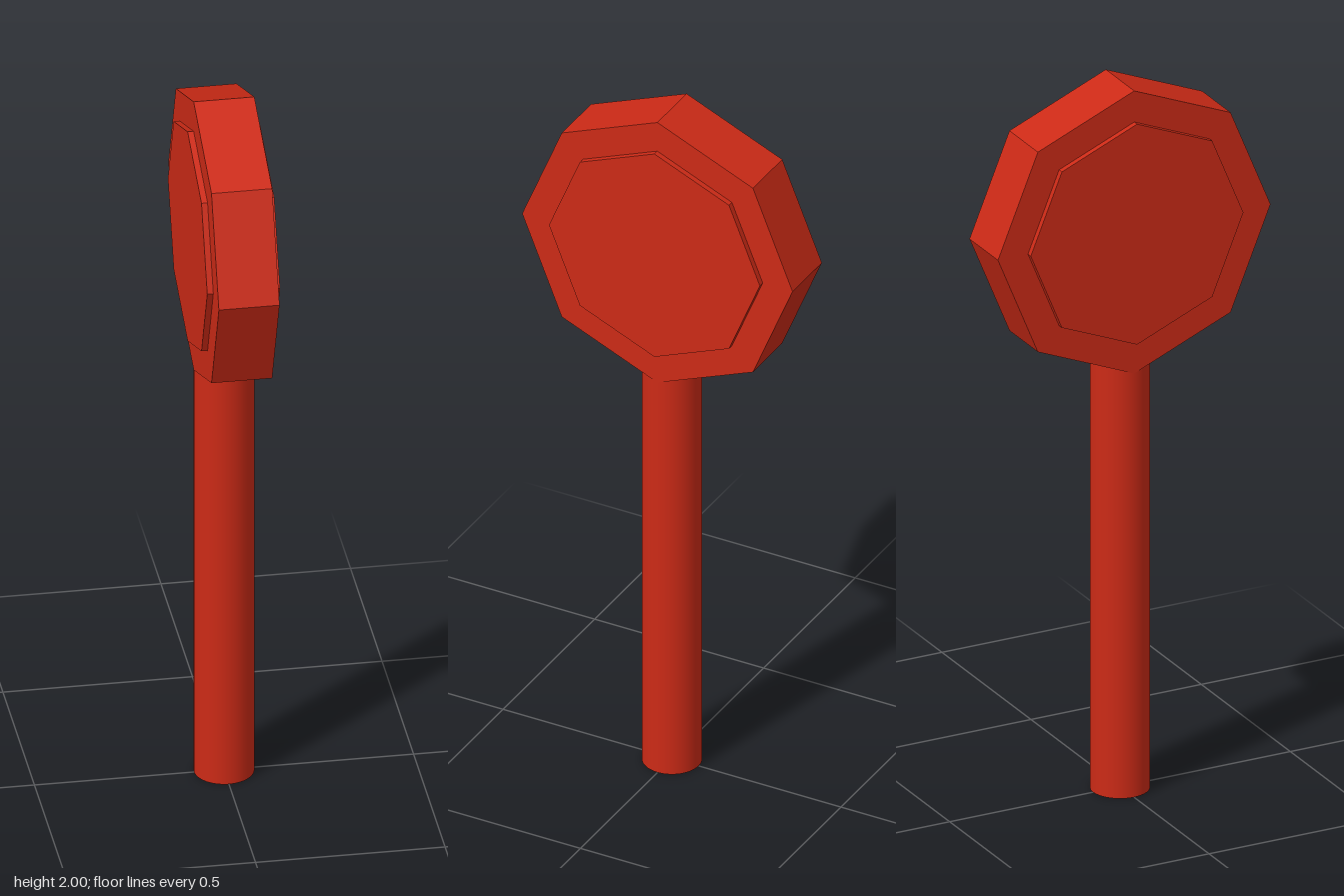
import * as THREE from 'three';

export function createModel() {
  const model = new THREE.Group();
  const smoothRed = new THREE.MeshStandardMaterial({ color: 0xcc2a16 });
  const flatRed = new THREE.MeshStandardMaterial({ color: 0xcc2a16, flatShading: true });

  // Round pole, its top end sunk into the sign head
  const poleHeight = 1.24;
  const pole = new THREE.Mesh(new THREE.CylinderGeometry(0.079, 0.079, poleHeight, 32), smoothRed);
  pole.name = 'pole';
  pole.position.y = poleHeight / 2;
  model.add(pole);

  // Octagonal slab facing sideways, with a corner pointing up
  const octagon = (name, radius, thickness, x) => {
    const geometry = new THREE.CylinderGeometry(radius, radius, thickness, 8).rotateZ(Math.PI / 2);
    const mesh = new THREE.Mesh(geometry, flatRed);
    mesh.name = name;
    mesh.position.set(x, 1.6, 0);
    model.add(mesh);
  };
  octagon('signHead', 0.4, 0.16, 0);

  // Raised panel on each face
  octagon('leftPanel', 0.312, 0.032, 0.08);
  octagon('rightPanel', 0.312, 0.032, -0.08);

  return model;
}
